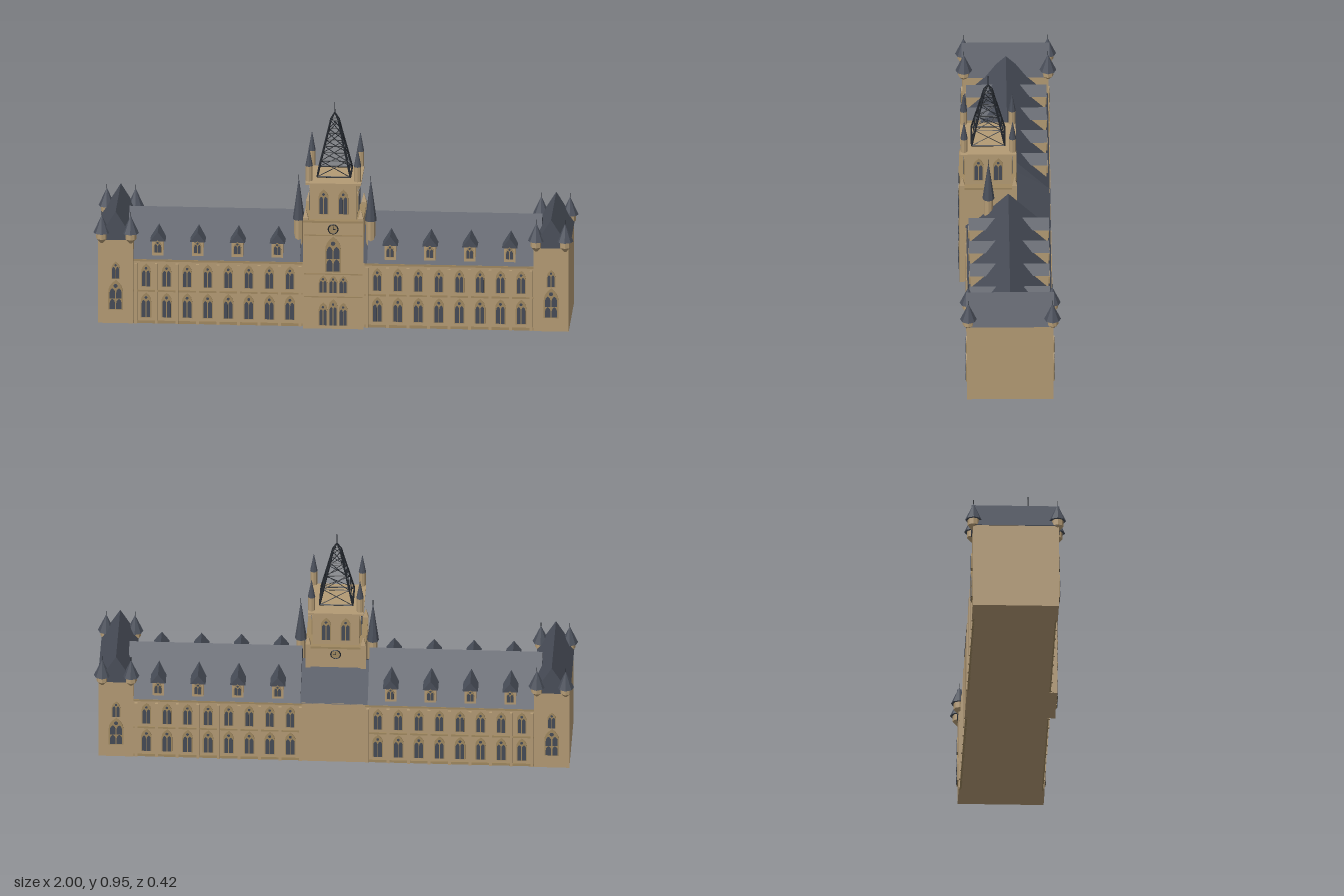
import * as THREE from 'three';

const mat = (name, color) => Object.assign(new THREE.MeshStandardMaterial({ color, flatShading: true }), { name });
const stone = mat('sandstone', 0xb39a74);
const trim = mat('stoneTrim', 0xa08860);
const slate = mat('slate', 0x4a4f5a);
const glass = mat('windowGlass', 0x454b56);
const iron = mat('iron', 0x22262c);

const TZ = 0.083; // tower centre in z

export function createModel() {
  const root = new THREE.Group();
  root.name = 'gothicHall';

  const add = (name, geo, m, x = 0, y = 0, z = 0, parent = root) => {
    const mesh = new THREE.Mesh(geo, m);
    mesh.name = name;
    mesh.position.set(x, y, z);
    parent.add(mesh);
    return mesh;
  };
  // box given by its ranges
  const box = (name, m, x0, x1, y0, y1, z0, z1) =>
    add(name, new THREE.BoxGeometry(x1 - x0, y1 - y0, z1 - z0), m, (x0 + x1) / 2, (y0 + y1) / 2, (z0 + z1) / 2);
  const cyl = (name, m, rTop, rBot, x, y0, y1, z, sides = 8, parent = root) => {
    const geo = new THREE.CylinderGeometry(rTop, rBot, y1 - y0, sides);
    if (sides === 4) geo.rotateY(Math.PI / 4);
    return add(name, geo, m, x, (y0 + y1) / 2, z, parent);
  };
  // triangular prism, ridge along z, base at y = 0
  const prism = (halfW, h, len) => {
    const s = new THREE.Shape([new THREE.Vector2(-halfW, 0), new THREE.Vector2(halfW, 0), new THREE.Vector2(0, h)]);
    return new THREE.ExtrudeGeometry(s, { depth: len, bevelEnabled: false }).translate(0, 0, -len / 2);
  };
  // thin pointed-arch plate facing +z
  const lancet = (w, h, depth) => {
    const spring = Math.max(h - w * 0.9, h * 0.4), a = w / 2;
    const s = new THREE.Shape();
    s.moveTo(-a, 0);
    s.lineTo(a, 0);
    s.lineTo(a, spring);
    s.quadraticCurveTo(a, spring + (h - spring) * 0.6, 0, h);
    s.quadraticCurveTo(-a, spring + (h - spring) * 0.6, -a, spring);
    return new THREE.ExtrudeGeometry(s, { depth, bevelEnabled: false, curveSegments: 4 });
  };
  // stone surround with paired lights and a small rose; turn is the facing angle
  const traceryWindow = (name, x, y, z, w, h, turn = 0, rows = 1) => {
    const g = new THREE.Group();
    g.name = name;
    add('surround', lancet(w, h, 0.005), trim, 0, 0, 0, g);
    const lh = (h * 0.74 - w * 0.06) / rows;
    for (let r = 0; r < rows; r++)
      for (const s of [-1, 1])
        add('light', lancet(w * 0.36, lh * 0.96, 0.007), glass, s * w * 0.22, w * 0.06 + r * lh, 0, g);
    const rose = new THREE.CylinderGeometry(w * 0.14, w * 0.14, 0.007, 8).rotateX(Math.PI / 2);
    add('rose', rose, glass, 0, h * 0.81, 0.0035, g);
    g.position.set(x, y, z);
    g.rotation.y = turn;
    root.add(g);
  };

  // Wings
  for (const sx of [-1, 1]) {
    const [a, b] = sx > 0 ? [0.13, 0.84] : [-0.84, -0.13];
    box('wingWalls', stone, a, b, 0, 0.28, -0.168, 0.168);
    const roof = add('wingRoof', prism(0.176, 0.175, 0.72), slate, sx * 0.5, 0.28, 0);
    roof.rotation.y = Math.PI / 2;

    for (const sz of [-1, 1]) {
      const zr = (z0, z1) => (sz > 0 ? [z0, z1] : [-z1, -z0]);
      const turn = sz > 0 ? 0 : Math.PI;
      box('stringCourse', trim, a, b, 0.138, 0.146, ...zr(0.165, 0.174));
      box('eavesCourse', trim, a, b, 0.272, 0.281, ...zr(0.165, 0.176));
      box('plinth', trim, a, b, 0, 0.012, ...zr(0.165, 0.174));
      for (let i = 0; i < 9; i++) {
        const x = sx * (0.139 + i * 0.0856);
        box('buttress', stone, x - 0.006, x + 0.006, 0, 0.262, ...zr(0.165, 0.179));
        if (i === 8) continue;
        const wx = sx * (0.182 + i * 0.0856);
        traceryWindow('lowerWindow', wx, 0.025, sz * 0.168, 0.044, 0.108, turn);
        traceryWindow('upperWindow', wx, 0.16, sz * 0.168, 0.04, 0.1, turn);
      }
      // Dormers
      for (let i = 0; i < 4; i++) {
        const x = sx * (0.235 + i * 0.166);
        box('dormer', stone, x - 0.024, x + 0.024, 0.295, 0.36, ...zr(0.09, 0.163));
        add('dormerRoof', prism(0.032, 0.042, 0.11), slate, x, 0.357, sz * 0.112);
        traceryWindow('dormerWindow', x, 0.308, sz * 0.163, 0.034, 0.054, turn);
      }
    }

    // End pavilion
    const px = sx * 0.907;
    box('pavilionWalls', stone, px - 0.073, px + 0.073, 0, 0.37, -0.178, 0.18);
    add('pavilionRoof', prism(0.077, 0.125, 0.366), slate, px, 0.366, 0.001);
    for (const sz of [-1, 1]) {
      const turn = sz > 0 ? 0 : Math.PI, wz = sz > 0 ? 0.18 : -0.178;
      traceryWindow('pavilionLowerWindow', px, 0.06, wz, 0.062, 0.13, turn, 2);
      traceryWindow('pavilionUpperWindow', px, 0.195, wz, 0.036, 0.075, turn);
      for (const x of [sx * 0.845, sx * 0.965]) {
        const z = sz * 0.175;
        cyl('turretCorbel', stone, 0.024, 0.006, x, 0.35, 0.37, z);
        cyl('turretDrum', stone, 0.024, 0.024, x, 0.37, 0.4, z);
        cyl('turretSpire', slate, 0.001, 0.035, x, 0.396, 0.47, z);
        cyl('turretFinial', iron, 0.0015, 0.0015, x, 0.465, 0.488, z, 4);
      }
    }
  }

  // Centre block behind the tower, with a lower roof
  box('centreWalls', stone, -0.135, 0.135, 0, 0.285, -0.176, 0.168);
  const centreRoof = add('centreRoof', prism(0.178, 0.11, 0.28), slate, 0, 0.283, 0);
  centreRoof.rotation.y = Math.PI / 2;

  // Tower shaft
  box('towerBase', stone, -0.122, 0.122, 0, 0.47, TZ - 0.115, 0.2);
  box('towerBelfry', stone, -0.097, 0.097, 0.47, 0.632, TZ - 0.097, TZ + 0.097);
  box('towerCourse', trim, -0.125, 0.125, 0.465, 0.474, TZ - 0.118, TZ + 0.12);
  box('towerCornice', stone, -0.116, 0.116, 0.629, 0.637, TZ - 0.116, TZ + 0.116);
  for (const y of [0.138, 0.238, 0.408]) box('towerBand', trim, -0.122, 0.122, y, y + 0.005, 0.198, 0.204);

  for (const sx of [-1, 1]) {
    for (const sz of [-1, 1]) {
      const cx = sx * 0.115, cz = TZ + sz * 0.109;
      box('towerCornerPier', stone, cx - 0.011, cx + 0.011, 0, 0.485, cz - 0.01, cz + 0.01);
      cyl('cornerPinnacle', stone, 0.001, 0.015, cx, 0.485, 0.522, cz, 4);
      // Parapet turrets around the lattice spire
      const qx = sx * 0.101, qz = TZ + sz * 0.101;
      cyl('parapetTurret', stone, 0.0145, 0.0145, qx, 0.645, 0.71, qz);
      cyl('parapetSpire', slate, 0.0008, 0.0155, qx, 0.709, 0.79, qz);
    }
    // Stair turrets beside the tower
    cyl('stairTurret', stone, 0.019, 0.019, sx * 0.15, 0.3, 0.445, TZ);
    cyl('stairTurretSpire', slate, 0.001, 0.025, sx * 0.15, 0.44, 0.615, TZ);
    cyl('stairTurretFinial', iron, 0.0015, 0.0015, sx * 0.15, 0.605, 0.635, TZ, 4);
  }

  // Belfry windows on all four sides; clocks front and back
  for (let k = 0; k < 4; k++) {
    const t = k * Math.PI / 2, c = Math.cos(t), s = Math.sin(t);
    for (const o of [-0.041, 0.041])
      traceryWindow('belfryWindow', o * c + 0.097 * s, 0.497, TZ + 0.097 * c - o * s, 0.042, 0.108, t);
  }
  for (const [z, sz] of [[0.2, 1], [TZ - 0.115, -1]]) {
    const face = new THREE.CylinderGeometry(0.018, 0.018, 0.005, 16).rotateX(Math.PI / 2);
    add('clockFace', face, trim, 0, 0.438, z + sz * 0.002);
    add('clockRim', new THREE.TorusGeometry(0.02, 0.0028, 4, 16), iron, 0, 0.438, z + sz * 0.003);
    for (const [w, h, x, y] of [[0.002, 0.015, 0, 0.444], [0.011, 0.002, 0.005, 0.438]])
      add('clockHand', new THREE.BoxGeometry(w, h, 0.002), iron, x, y, z + sz * 0.005);
  }

  // Tower front openings
  for (const x of [-0.042, 0, 0.042]) {
    traceryWindow('entranceWindow', x, 0.015, 0.2, 0.036, x ? 0.1 : 0.115);
    traceryWindow('towerMiddleWindow', x, 0.158, 0.2, 0.036, 0.075);
  }
  traceryWindow('towerGreatWindow', 0, 0.25, 0.2, 0.066, 0.155, 0, 2);

  // Open iron lattice spire
  const spire = new THREE.Group();
  spire.name = 'latticeSpire';
  spire.position.z = TZ;
  root.add(spire);
  const strut = (name, p, q, r) => {
    const d = q.clone().sub(p);
    const m = add(name, new THREE.CylinderGeometry(r, r, d.length(), 4), iron, 0, 0, 0, spire);
    m.position.copy(p).addScaledVector(d, 0.5);
    m.quaternion.setFromUnitVectors(new THREE.Vector3(0, 1, 0), d.normalize());
  };
  const levels = [[0.65, 0.069], [0.715, 0.054], [0.775, 0.04], [0.83, 0.027], [0.88, 0.016]];
  const corner = ([y, r], k) => new THREE.Vector3([1, 1, -1, -1][k % 4] * r, y, [1, -1, -1, 1][k % 4] * r);
  const apex = new THREE.Vector3(0, 0.912, 0);
  for (let k = 0; k < 4; k++) {
    levels.forEach((lv, i) => {
      strut('spireRing', corner(lv, k), corner(lv, k + 1), i ? 0.0022 : 0.0035);
      const up = levels[i + 1];
      if (!up) return strut('spireTip', corner(lv, k), apex, 0.003);
      strut('spireLeg', corner(lv, k), corner(up, k), 0.0038);
      strut('spireBrace', corner(lv, k), corner(up, k + 1), 0.0018);
      strut('spireBrace', corner(lv, k + 1), corner(up, k), 0.0018);
    });
  }
  cyl('mast', iron, 0.0015, 0.0025, 0, 0.905, 0.955, 0, 6, spire);

  return root;
}
